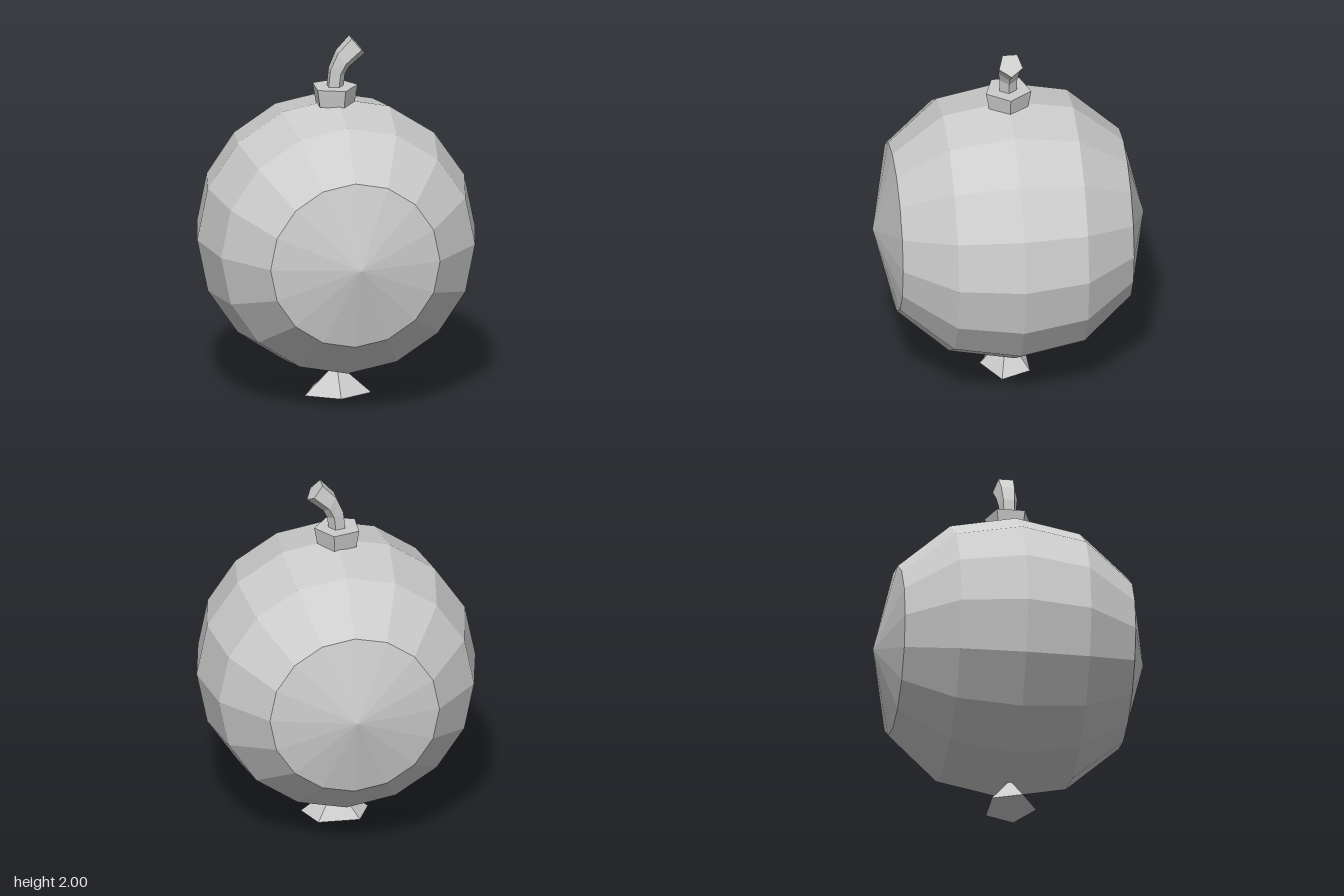
import * as THREE from 'three';

const SIDES = 5;

// Stem: pentagon rings swept along a bending path, [x, y, radius, lean angle]
function stemGeometry(rings) {
  const pos = [], idx = [];
  for (const [x, y, r, lean] of rings) {
    for (let i = 0; i < SIDES; i++) {
      const a = (i / SIDES) * Math.PI * 2;
      const u = Math.cos(a) * r;
      pos.push(x + u * Math.cos(lean), y - u * Math.sin(lean), Math.sin(a) * r);
    }
  }
  for (let k = 0; k < rings.length - 1; k++) {
    for (let i = 0; i < SIDES; i++) {
      const a = k * SIDES + i, b = k * SIDES + (i + 1) % SIDES;
      idx.push(a, a + SIDES, b, b, a + SIDES, b + SIDES);
    }
  }
  // end cap
  const e = (rings.length - 1) * SIDES;
  for (let i = 1; i < SIDES - 1; i++) idx.push(e, e + i + 1, e + i);
  const g = new THREE.BufferGeometry();
  g.setAttribute('position', new THREE.Float32BufferAttribute(pos, 3));
  g.setIndex(idx);
  g.computeVertexNormals();
  return g;
}

export function createModel() {
  const model = new THREE.Group();
  model.name = 'ornament';
  const grey = new THREE.MeshStandardMaterial({ color: 0xcccccc, flatShading: true });
  grey.name = 'light grey';

  const add = (name, geometry, x = 0, y = 0, z = 0) => {
    const mesh = new THREE.Mesh(geometry, grey);
    mesh.name = name;
    mesh.position.set(x, y, z);
    model.add(mesh);
    return mesh;
  };

  // Faceted shell turned about the front-to-back axis
  const turned = (profile) => {
    const g = new THREE.LatheGeometry(profile.map(([r, z]) => new THREE.Vector2(r, z)), 16);
    g.rotateX(Math.PI / 2);
    g.scale(1, 0.99, 1);
    // front rim sits slightly to one side
    const p = g.attributes.position;
    for (let i = 0; i < p.count; i++) {
      if (p.getZ(i) > 0.5 && p.getZ(i) < 0.7) p.setX(i, p.getX(i) - 0.012);
    }
    g.computeVertexNormals();
    return g;
  };
  add('body', turned([[0, -0.74], [0.465, -0.63], [0.7, -0.355], [0.765, 0], [0.7, 0.355], [0.467, 0.63]]), 0, 0.898, 0);
  add('frontCap', turned([[0.467, 0.63], [0, 0.74]]), 0, 0.898, 0);

  // Collar on top, wider at its upper edge
  add('collar', new THREE.CylinderGeometry(0.13, 0.112, 0.1, SIDES, 1, false, Math.PI / 2), -0.01, 1.68, 0);

  // Curved stem, growing thicker to its tip
  add('stem', stemGeometry([
    [-0.01, 1.7, 0.048, 0.05],
    [0.002, 1.81, 0.051, 0.41],
    [0.034, 1.88, 0.061, 0.94],
    [0.116, 1.958, 0.0685, 0.87],
  ]));

  // Flared knot below
  const knot = add('knot', new THREE.ConeGeometry(1, 0.165, SIDES), 0, 0.0825, 0.011);
  knot.scale.set(0.194, 1, 0.144);

  return model;
}
